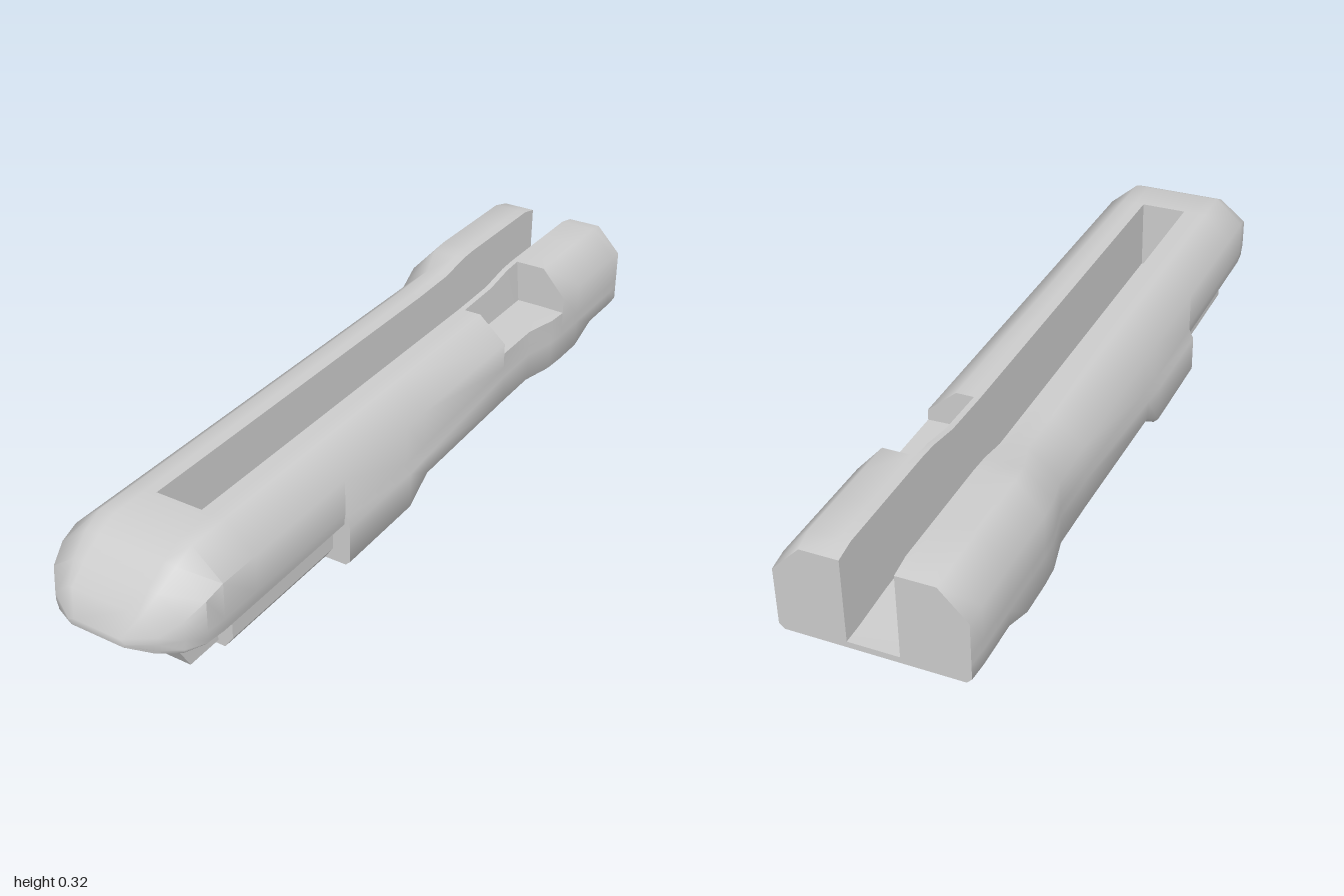
import * as THREE from 'three';
import { toCreasedNormals } from 'three/addons/utils/BufferGeometryUtils.js';

const material = new THREE.MeshStandardMaterial({ color: 0xcccccc });

// Half of a body cross-section on the +x side, from the bottom up to the slot floor
function halfSection(s, cut) {
  const { w, wl, b, yl, sh, t, top, floor } = s;
  const c = Math.min(0.012, (yl - b) / 2);
  const x = (v) => Math.min(v, t);
  const lid = cut ? 0.21 : top;
  return [
    [wl - c, b], [wl, b + c], [wl, yl],
    [w, yl + Math.min(0.025, (sh - yl) / 2)],
    [w, cut ? 0.208 : sh], [t, lid],
    [x(0.085), lid], [x(0.075), top], [x(0.06), top], [x(0.06), floor],
  ];
}

// Skin a row of closed sections running from front to back, with flat end caps
function loft(rings) {
  const n = rings[0].pts.length;
  const pos = [], idx = [];
  for (const r of rings) for (const [x, y] of r.pts) pos.push(x, y, r.z);
  for (let k = 0; k < rings.length - 1; k++) {
    for (let i = 0; i < n; i++) {
      const a = k * n + i, b = k * n + (i + 1) % n;
      idx.push(a, a + n, b, b, a + n, b + n);
    }
  }
  const cap = (k, flip) => {
    const pts = rings[k].pts.map(([x, y]) => new THREE.Vector2(x, y));
    for (const [a, b, c] of THREE.ShapeUtils.triangulateShape(pts, [])) {
      const o = k * n;
      if (flip) idx.push(o + a, o + c, o + b);
      else idx.push(o + a, o + b, o + c);
    }
  };
  cap(0, false);
  cap(rings.length - 1, true);
  const g = new THREE.BufferGeometry();
  g.setAttribute('position', new THREE.Float32BufferAttribute(pos, 3));
  g.setIndex(idx);
  return toCreasedNormals(g, 0.9);
}

function extrude(points, depth) {
  const shape = new THREE.Shape(points.map(([x, y]) => new THREE.Vector2(x, y)));
  return new THREE.ExtrudeGeometry(shape, { depth, bevelEnabled: false });
}

function bodyGeometry() {
  const rings = [];
  let s = {};
  // Each call changes only the named measures; repeating z makes a step
  const at = (z, change = {}, cut = false) => {
    s = { ...s, ...change };
    const right = halfSection(s, cut);
    const left = halfSection(s, false).reverse().map(([x, y]) => [-x, y]);
    rings.push({ z, pts: [...right, ...left] });
  };
  // Rounded nose
  at(1.0, { w: 0.075, wl: 0.07, b: 0.133, yl: 0.136, sh: 0.143, t: 0.06, top: 0.15, floor: 0.15 });
  at(0.97, { w: 0.135, wl: 0.13, b: 0.122, yl: 0.13, sh: 0.165, t: 0.095, top: 0.2, floor: 0.2 });
  at(0.93, { w: 0.172, wl: 0.168, b: 0.112, yl: 0.122, sh: 0.195, t: 0.11, top: 0.24, floor: 0.24 });
  at(0.88, { w: 0.19, wl: 0.187, b: 0.108, yl: 0.12, sh: 0.22, t: 0.118, top: 0.277, floor: 0.277 });
  at(0.83, { w: 0.195, wl: 0.192, sh: 0.235, t: 0.12, top: 0.3, floor: 0.3 });
  // Slot begins
  at(0.72);
  at(0.72, { floor: 0.113 });
  // Wider, deeper lower section
  at(0.385);
  at(0.385, { wl: 0.207, b: 0.003, yl: 0.108 });
  at(0.12, { wl: 0.206 });
  at(0.04, { wl: 0.205, b: 0.055, yl: 0.115 });
  at(-0.36, { wl: 0.197, yl: 0.14 });
  // Side notch
  at(-0.36, {}, true);
  at(-0.5, { top: 0.304, wl: 0.196 }, true);
  at(-0.59, { w: 0.217, wl: 0.217, sh: 0.25, t: 0.15, top: 0.32 }, true);
  at(-0.645, { w: 0.22, wl: 0.22, t: 0.155, top: 0.323 }, true);
  at(-0.645);
  // Raised tail
  at(-0.74);
  at(-0.83, { b: 0.09 });
  at(-0.95, { floor: 0.105 });
  at(-1.0, { w: 0.217, wl: 0.217, sh: 0.243, t: 0.15, top: 0.312 });
  return loft(rings);
}

export function createModel() {
  const group = new THREE.Group();
  const add = (name, geometry) => {
    const mesh = new THREE.Mesh(geometry, material);
    mesh.name = name;
    group.add(mesh);
    return mesh;
  };

  add('slottedBody', bodyGeometry());

  // Chamfered block under the front half
  const block = add('lowerBlock', extrude([
    [-0.138, 0.003], [0.138, 0.003], [0.16, 0.035],
    [0.16, 0.112], [-0.16, 0.112], [-0.16, 0.035],
  ], 0.385));
  block.position.z = 0.38;

  // Wedge with a sloping underside ahead of the block
  const wedge = add('frontWedge', extrude([
    [0.75, 0.012], [0.86, 0.012], [0.92, 0.116], [0.75, 0.116],
  ], 0.24));
  wedge.rotation.y = -Math.PI / 2;
  wedge.position.x = 0.12;

  return group;
}
